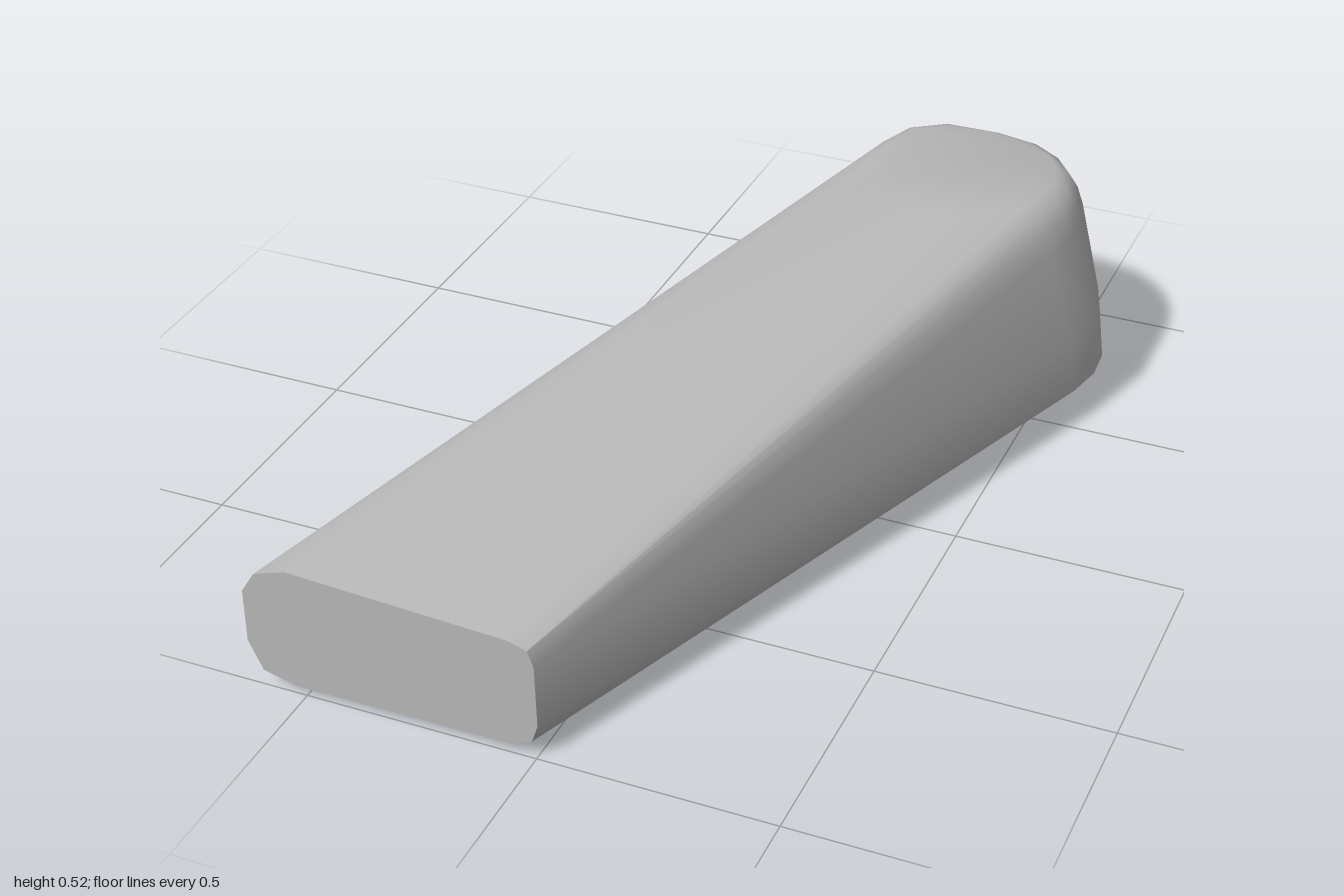
import * as THREE from 'three';
import { toCreasedNormals } from 'three/addons/utils/BufferGeometryUtils.js';
import { ConvexGeometry } from 'three/addons/geometries/ConvexGeometry.js';

export function createModel() {
  const group = new THREE.Group();
  group.name = 'taperedWedge';
  const grey = new THREE.MeshStandardMaterial({ color: 0xb8b8b8 });
  grey.name = 'grey';

  // flat front end: rounded cross-section [x, y] at z = 1
  const front = [
    [-0.625, 0.1], [-0.625, 0.22], [-0.595, 0.268], [-0.525, 0.292],
    [-0.05, 0.268], [-0.01, 0.255], [0.003, 0.22], [0.005, 0.08],
    [-0.008, 0.04], [-0.05, 0.02], [-0.52, 0.016], [-0.595, 0.035],
  ];
  const points = front.map(([x, y]) => new THREE.Vector3(x, y, 1));

  // rounded heel: outlines [x, z] of the foot and of the flat top
  const foot = [
    [-0.1, -0.65], [-0.04, -0.79], [0.02, -0.91], [0.14, -1], [0.3, -0.975], [0.42, -0.935],
    [0.51, -0.87], [0.58, -0.78], [0.615, -0.68], [0.62, -0.6], [0.6, -0.51],
  ];
  const top = [
    [0.08, -0.62], [0.085, -0.7], [0.11, -0.78], [0.17, -0.82], [0.28, -0.83], [0.37, -0.815],
    [0.43, -0.775], [0.47, -0.72], [0.485, -0.65], [0.48, -0.58], [0.455, -0.5],
  ];
  // [height, blend from foot to top outline]
  const rings = [[0.09, 0], [0.21, 0.1], [0.43, 0.5], [0.475, 0.62], [0.507, 0.78], [0.523, 1]];
  for (const [y, t] of rings) {
    foot.forEach(([x, z], i) => points.push(new THREE.Vector3(
      THREE.MathUtils.lerp(x, top[i][0], t), y, THREE.MathUtils.lerp(z, top[i][1], t))));
  }
  // right wall stays upright above the foot; front corners of the flat top
  points.push(new THREE.Vector3(0.62, 0.21, -0.62));
  points.push(new THREE.Vector3(0.1, 0.523, -0.47), new THREE.Vector3(0.33, 0.523, -0.43));
  // underside fold line
  points.push(new THREE.Vector3(0.41, 0, -0.3), new THREE.Vector3(-0.12, 0.008, -0.3));

  const body = new THREE.Mesh(toCreasedNormals(new ConvexGeometry(points), 0.6), grey);
  body.name = 'wedgeBody';
  group.add(body);
  return group;
}
